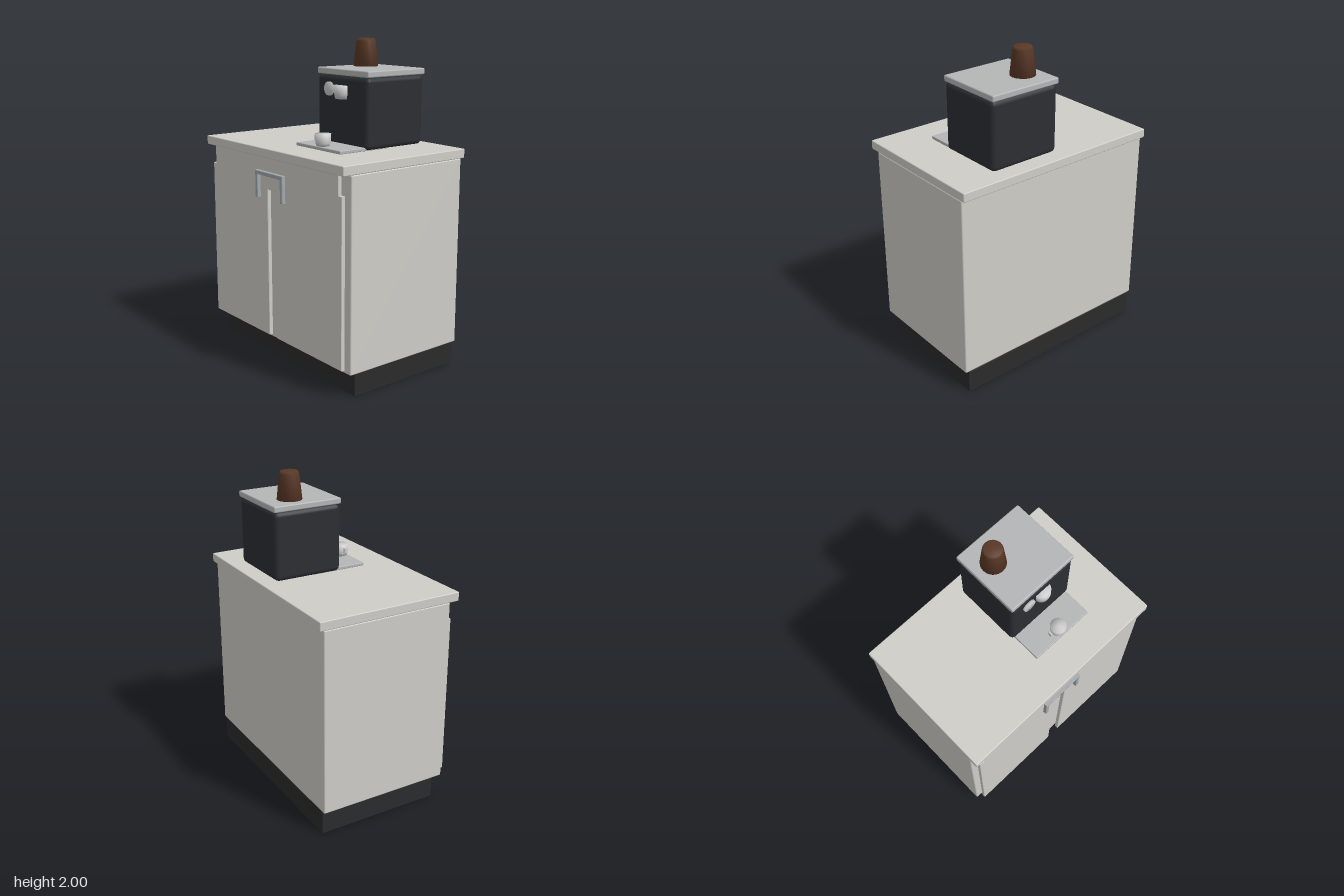
import * as THREE from 'three';
import { RoundedBoxGeometry } from 'three/addons/geometries/RoundedBoxGeometry.js';

const mat = (color) => new THREE.MeshStandardMaterial({ color });

export function createModel() {
  const model = new THREE.Group();
  const cabinetMat = mat(0xcfcdc8), metal = mat(0xb4b5b6), steel = mat(0xa3a9ac);
  const grey = mat(0xcccccc), dark = mat(0x2c2e32), plinthMat = mat(0x2a2b2c), brown = mat(0x5a3826);

  const add = (parent, name, geometry, material) => {
    const mesh = new THREE.Mesh(geometry, material);
    mesh.name = name;
    parent.add(mesh);
    return mesh;
  };
  // Softly bevelled box given by its extents on each axis
  const box = (parent, name, [x0, x1], [y0, y1], [z0, z1], r, material) => {
    const mesh = add(parent, name, new RoundedBoxGeometry(x1 - x0, y1 - y0, z1 - z0, 2, r), material);
    mesh.position.set((x0 + x1) / 2, (y0 + y1) / 2, (z0 + z1) / 2);
    return mesh;
  };
  // Solid of revolution from [radius, height] pairs
  const lathe = (parent, name, points, x, y, z, material, sides = 24) => {
    const profile = points.map(([r, h]) => new THREE.Vector2(r, h));
    const mesh = add(parent, name, new THREE.LatheGeometry(profile, sides), material);
    mesh.position.set(x, y, z);
    return mesh;
  };
  // Flat outline extruded along z
  const panel = (parent, name, points, z0, z1, material) => {
    const shape = new THREE.Shape(points.map(([x, y]) => new THREE.Vector2(x, y)));
    const b = 0.003;
    const geometry = new THREE.ExtrudeGeometry(shape, {
      depth: z1 - z0 - 2 * b, bevelSize: b, bevelOffset: -b, bevelThickness: b, bevelSegments: 1,
    });
    geometry.translate(0, 0, z0 + b);
    return add(parent, name, geometry, material);
  };

  // Cabinet
  const cabinet = new THREE.Group();
  cabinet.name = 'cabinet';
  model.add(cabinet);
  box(cabinet, 'plinth', [-0.68, 0.68], [0, 0.15], [-0.44, 0.355], 0.004, plinthMat);
  box(cabinet, 'carcass', [-0.703, 0.703], [0.148, 1.308], [-0.44, 0.407], 0.008, cabinetMat);
  box(cabinet, 'countertop', [-0.706, 0.706], [1.308, 1.365], [-0.467, 0.467], 0.006, cabinetMat);

  // Doors and drawer front share one flush face
  panel(cabinet, 'doorsAndDrawerFront', [
    [-0.667, 0.175], [-0.045, 0.175], [-0.045, 1.11], [0.043, 1.11], [0.043, 0.175], [0.667, 0.175],
    [0.667, 1.19], [0.637, 1.19], [0.637, 1.307], [-0.637, 1.307], [-0.637, 1.19], [-0.667, 1.19],
  ], 0.42, 0.446, cabinetMat);

  // Bracket handle
  panel(cabinet, 'handle', [
    [-0.143, 1.055], [-0.118, 1.055], [-0.118, 1.197], [0.115, 1.197],
    [0.115, 1.055], [0.14, 1.055], [0.14, 1.222], [-0.143, 1.222],
  ], 0.444, 0.47, steel);

  // Coffee machine
  const machine = new THREE.Group();
  machine.name = 'coffeeMachine';
  model.add(machine);
  box(machine, 'body', [-0.04, 0.434], [1.368, 1.792], [-0.38, 0.066], 0.03, dark);
  box(machine, 'lid', [-0.042, 0.436], [1.792, 1.83], [-0.385, 0.066], 0.008, metal);
  box(machine, 'dripTray', [-0.015, 0.41], [1.364, 1.385], [-0.11, 0.25], 0.005, metal);
  lathe(machine, 'beanHopper', [[0, 0], [0.077, 0], [0.06, 0.155], [0.052, 0.17], [0, 0.17]],
    0.085, 1.83, -0.217, brown, 16);

  // Brew controls on the front
  const knob = lathe(machine, 'knob', [[0, 0], [0.042, 0], [0.042, 0.023], [0, 0.023]],
    0.085, 1.707, 0.057, grey);
  knob.rotation.x = Math.PI / 2;
  lathe(machine, 'brewHead', [[0, 0], [0.049, 0], [0.055, 0.03], [0.055, 0.08], [0, 0.08]],
    0.197, 1.655, 0.055, grey);
  lathe(machine, 'spout', [[0, 0], [0.014, 0], [0.014, 0.03], [0, 0.03]], 0.197, 1.628, 0.05, grey);

  // Cup on the tray
  const cup = new THREE.Group();
  cup.name = 'cup';
  model.add(cup);
  lathe(cup, 'cupBowl', [[0, 0], [0.038, 0], [0.046, 0.018], [0.049, 0.073], [0, 0.073]],
    0.197, 1.385, 0.208, grey);
  box(cup, 'cupHandle', [0.127, 0.141], [1.41, 1.448], [0.195, 0.22], 0.005, grey);

  return model;
}
